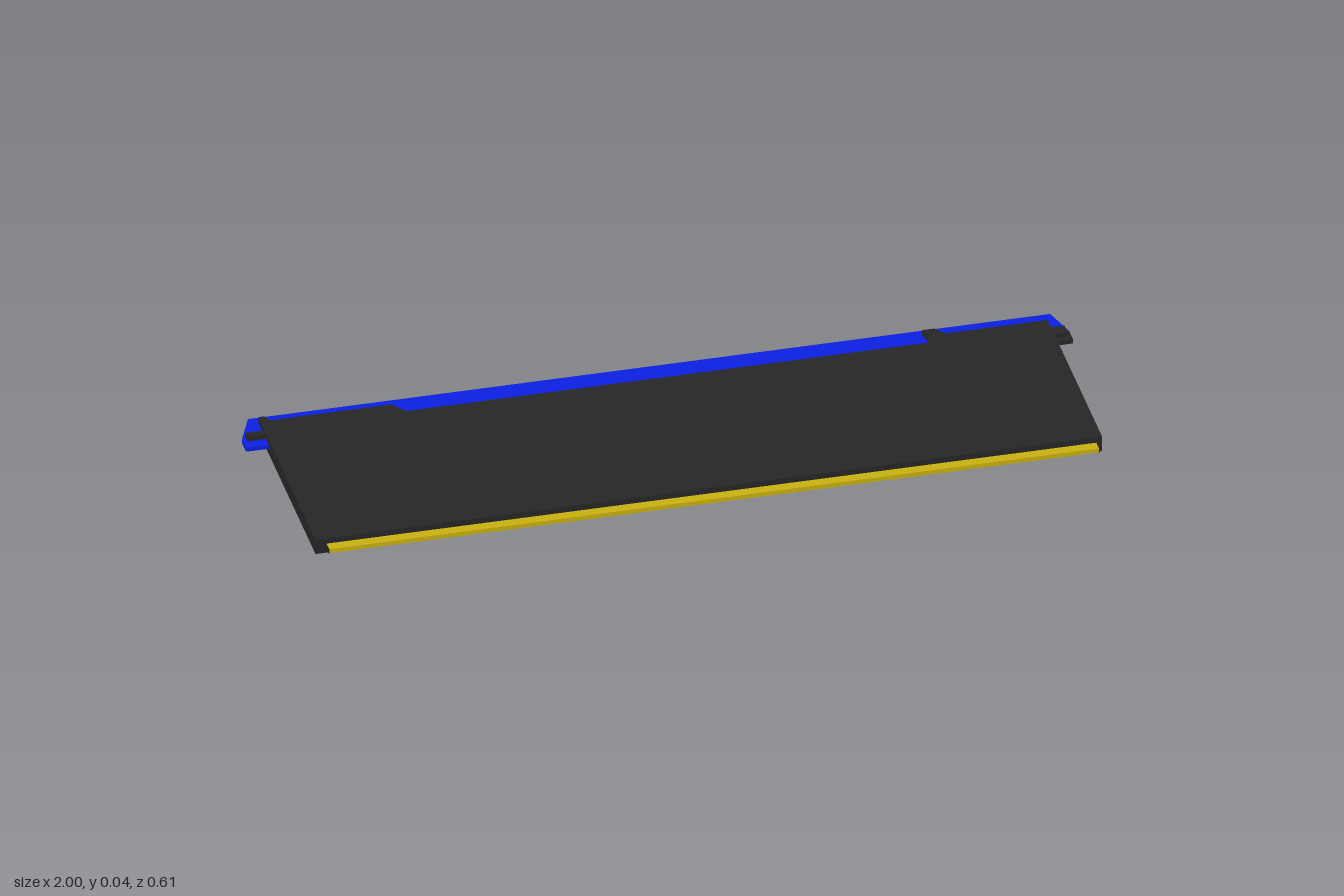
import * as THREE from 'three';

export function createModel() {
  const model = new THREE.Group();
  const black = new THREE.MeshStandardMaterial({ color: 0x262626 });
  const blue = new THREE.MeshStandardMaterial({ color: 0x0c20e0 });
  const yellow = new THREE.MeshStandardMaterial({ color: 0xc8b010 });

  // Flat plate from an outline of [x, z] points, between two heights
  function plate(name, points, y0, y1, material) {
    const shape = new THREE.Shape(points.map(([x, z]) => new THREE.Vector2(x, -z)));
    const geometry = new THREE.ExtrudeGeometry(shape, { depth: y1 - y0, bevelEnabled: false });
    geometry.rotateX(-Math.PI / 2);
    const mesh = new THREE.Mesh(geometry, material);
    mesh.name = name;
    mesh.position.y = y0;
    model.add(mesh);
  }

  const rect = (x0, x1, z0, z1) => [[x0, z1], [x1, z1], [x1, z0], [x0, z0]];

  // Lower shell, core and notched upper shell
  plate('lowerShell', rect(-0.945, 0.957, -0.22, 0.277), 0, 0.014, black);
  plate('core', rect(-0.945, 0.957, -0.18, 0.277), 0.014, 0.025, black);
  plate('upperShell', [
    [-0.945, 0.277], [0.957, 0.277], [0.957, -0.255], [0.71, -0.255],
    [0.69, -0.282], [0.66, -0.282], [0.668, -0.25], [0.66, -0.225],
    [-0.6, -0.225], [-0.63, -0.262], [-0.922, -0.262], [-0.93, -0.282], [-0.945, -0.282],
  ], 0.025, 0.04, black);

  // Blue rear plate with sloping corners
  plate('rearPlate', [
    [-1, -0.18], [-0.945, -0.18], [0.957, -0.18], [0.957, -0.22], [1, -0.22],
    [0.975, -0.303], [-0.965, -0.303], [-1, -0.22],
  ], 0.0142, 0.0248, blue);

  // Small side clips and the dark end tab
  plate('rightClip', rect(-0.99, -0.945, -0.225, -0.207), 0.025, 0.038, black);
  plate('leftClip', rect(0.957, 0.99, -0.225, -0.195), 0.025, 0.038, black);
  plate('leftTab', rect(0.957, 1, -0.22, -0.18), 0.014, 0.025, black);

  // Yellow contact strip along the front, with dark ends
  plate('contactStrip', rect(-0.918, 0.943, 0.277, 0.303), 0.014, 0.025, yellow);
  for (const x of [-0.919, 0.944]) {
    plate('stripEnd', rect(x - 0.001, x + 0.001, 0.277, 0.303), 0.014, 0.025, black);
  }

  return model;
}
